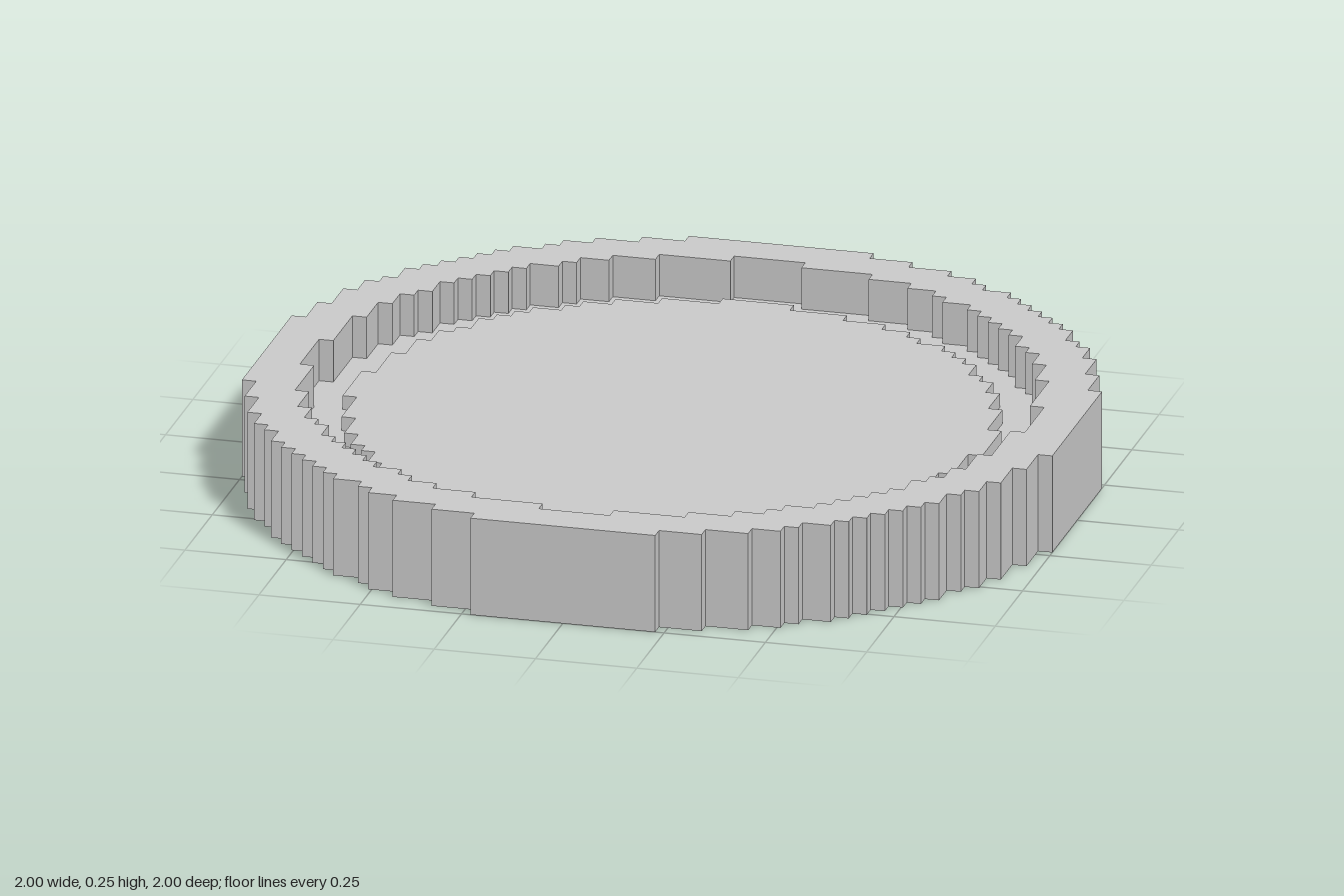
import * as THREE from 'three';

const CELL = 2 / 57; // edge of one block; the disc is 57 blocks across

// Stepped outline of all blocks whose centres lie within the radius (in blocks)
function blockCircle(radius) {
  const n = Math.floor(radius);
  const halfWidth = (row) => Math.floor(Math.sqrt(radius * radius - row * row)) + 0.5;
  const right = [];
  for (let row = -n; row <= n; row++) {
    const w = halfWidth(row);
    // only corners where the width changes
    if (row === -n || halfWidth(row - 1) !== w) right.push([w, row - 0.5]);
    if (row === n || halfWidth(row + 1) !== w) right.push([w, row + 0.5]);
  }
  const left = right.map(([x, y]) => [-x, y]).reverse();
  return [...right, ...left].map(([x, y]) => new THREE.Vector2(x * CELL, y * CELL));
}

// Upright slab between two levels (in blocks), with an optional opening
function slab(name, radius, bottom, top, holeRadius) {
  const shape = new THREE.Shape(blockCircle(radius));
  if (holeRadius) shape.holes.push(new THREE.Path(blockCircle(holeRadius).reverse()));
  const geometry = new THREE.ExtrudeGeometry(shape, { depth: (top - bottom) * CELL, bevelEnabled: false });
  geometry.rotateX(-Math.PI / 2);
  geometry.translate(0, bottom * CELL, 0);
  const material = new THREE.MeshStandardMaterial({ color: 0xcccccc, flatShading: true });
  const mesh = new THREE.Mesh(geometry, material);
  mesh.name = name;
  return mesh;
}

export function createModel() {
  const OUTER = 28.7, INNER = 25.1, CENTRE = 22.1;
  const group = new THREE.Group();
  group.name = 'steppedDisc';
  group.add(
    slab('rim', OUTER, 0, 7, INNER),       // tall outer wall
    slab('grooveFloor', INNER, 0, 4),      // low floor inside the wall
    slab('raisedCentre', CENTRE, 4, 5),    // plate one block above the floor
  );
  return group;
}
